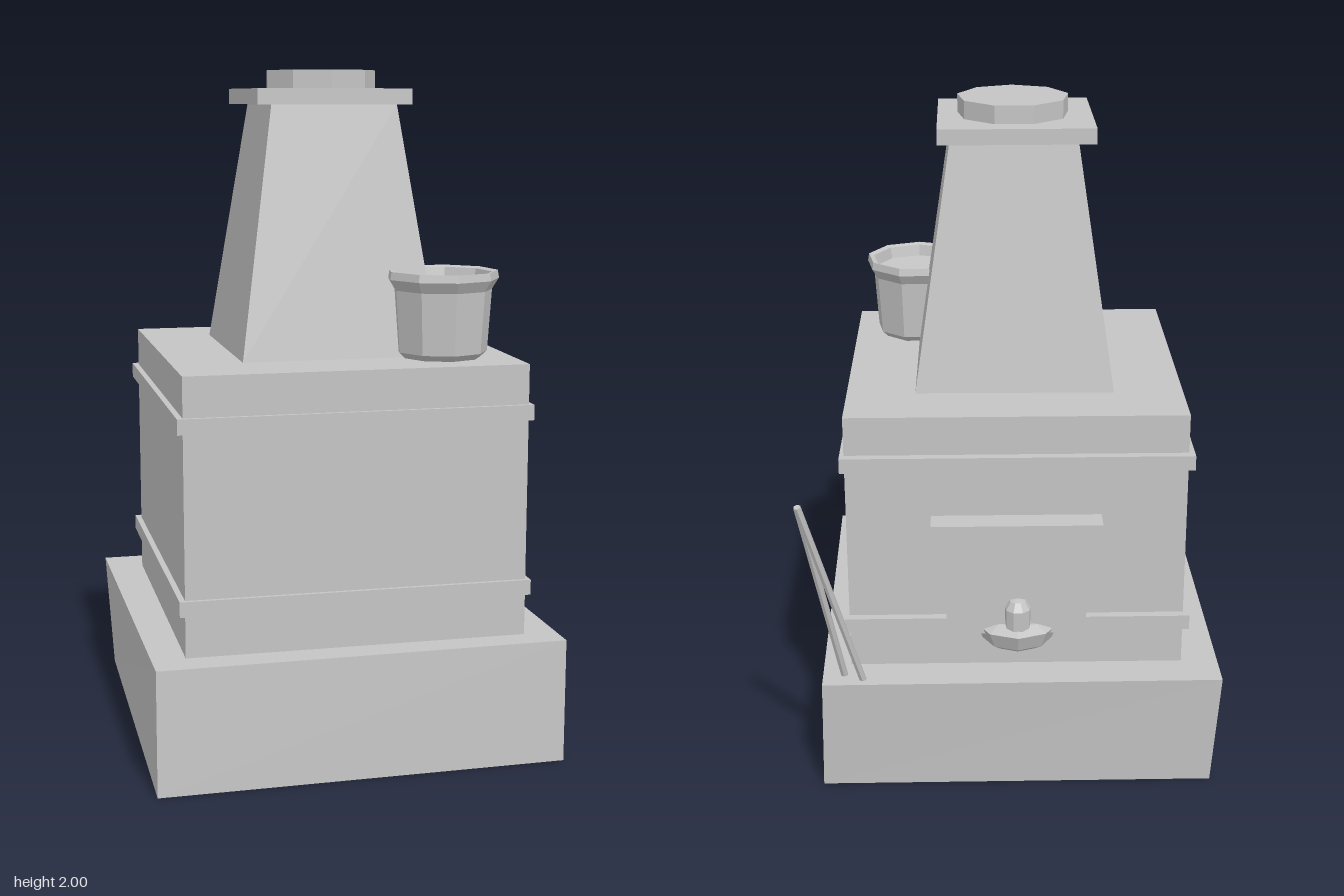
import * as THREE from 'three';

const stone = new THREE.MeshStandardMaterial({ color: 0xc4c4c4, flatShading: true });
stone.name = 'pale stone';

export function createModel() {
  const model = new THREE.Group();
  model.name = 'masonryStove';

  const add = (name, geometry, x = 0, y = 0, z = 0) => {
    const mesh = new THREE.Mesh(geometry, stone);
    mesh.name = name;
    mesh.position.set(x, y, z);
    model.add(mesh);
    return mesh;
  };

  // Box given by its limits on each axis
  const block = (name, x0, x1, y0, y1, z0, z1) =>
    add(name, new THREE.BoxGeometry(x1 - x0, y1 - y0, z1 - z0),
      (x0 + x1) / 2, (y0 + y1) / 2, (z0 + z1) / 2);

  // Box with free corners; each ring is back-right, back-left, front-left, front-right as [x, z]
  const hull = (name, y0, lower, y1, upper) => {
    const g = new THREE.BoxGeometry(1, 1, 1);
    const p = g.attributes.position;
    for (let i = 0; i < p.count; i++) {
      const left = p.getX(i) > 0, top = p.getY(i) > 0, front = p.getZ(i) > 0;
      const corner = front ? (left ? 2 : 3) : (left ? 1 : 0);
      const [x, z] = (top ? upper : lower)[corner];
      p.setXYZ(i, x, top ? y1 : y0, z);
    }
    g.computeVertexNormals();
    return add(name, g);
  };

  const lathe = (name, points, x, y, z) =>
    add(name, new THREE.LatheGeometry(points.map(([r, h]) => new THREE.Vector2(r, h)), 9), x, y, z);

  // Slightly skewed plinth
  hull('plinth', 0, [[-0.6, -0.515], [0.585, -0.515], [0.59, 0.675], [-0.61, 0.688]],
    0.362, [[-0.622, -0.54], [0.575, -0.545], [0.596, 0.66], [-0.607, 0.67]]);

  // Stove body with two bands
  block('body', -0.51, 0.495, 0.362, 1.167, -0.42, 0.577);
  for (const [name, y] of [['lowerBand', 0.485], ['upperBand', 1.005]])
    block(name, -0.527, 0.508, y, y + 0.045, -0.447, 0.589);

  // Tapered chimney, cap slab and flue pot
  hull('chimney', 1.167, [[-0.303, -0.228], [0.29, -0.222], [0.29, 0.37], [-0.303, 0.372]],
    1.9, [[-0.195, -0.11], [0.18, -0.11], [0.18, 0.265], [-0.195, 0.265]]);
  hull('chimneyCap', 1.9, [[-0.245, -0.155], [0.216, -0.16], [0.218, 0.298], [-0.243, 0.305]],
    1.946, [[-0.245, -0.155], [0.216, -0.16], [0.218, 0.298], [-0.243, 0.305]]);
  add('fluePot', new THREE.CylinderGeometry(0.168, 0.168, 0.054, 9), -0.008, 1.973, 0.069);

  // Filled cooking pot standing against the chimney
  lathe('cookingPot', [[0, 0], [0.118, 0], [0.136, 0.018], [0.148, 0.2], [0.168, 0.232],
    [0.164, 0.255], [0.147, 0.25], [0.14, 0.215], [0, 0.2]], 0.292, 1.167, 0.372);

  // Firebox at the back
  block('fireboxDoor', -0.215, 0.203, 0.485, 0.8, -0.46, -0.41);
  block('fireboxLintel', -0.258, 0.245, 0.798, 0.856, -0.498, -0.41);
  lathe('ashDish', [[0, 0], [0.08, 0], [0.11, 0.02], [0.13, 0.07], [0.09, 0.085], [0, 0.095]],
    -0.01, 0.43, -0.395).rotation.y = Math.PI;
  lathe('doorKnob', [[0, 0], [0.038, 0], [0.04, 0.075], [0.025, 0.1], [0, 0.105]],
    -0.01, 0.497, -0.462);

  // Two pokers leaning together at the back corner
  const poker = (from, to) => {
    const a = new THREE.Vector3(...from), b = new THREE.Vector3(...to);
    const d = b.clone().sub(a);
    const mesh = add('poker', new THREE.CylinderGeometry(0.011, 0.011, d.length(), 6));
    mesh.position.copy(a).addScaledVector(d, 0.5);
    mesh.quaternion.setFromUnitVectors(new THREE.Vector3(0, 1, 0), d.normalize());
  };
  poker([0.452, 0.35, -0.508], [0.608, 1.004, -0.675]);
  poker([0.51, 0.35, -0.478], [0.608, 1.004, -0.675]);

  return model;
}
